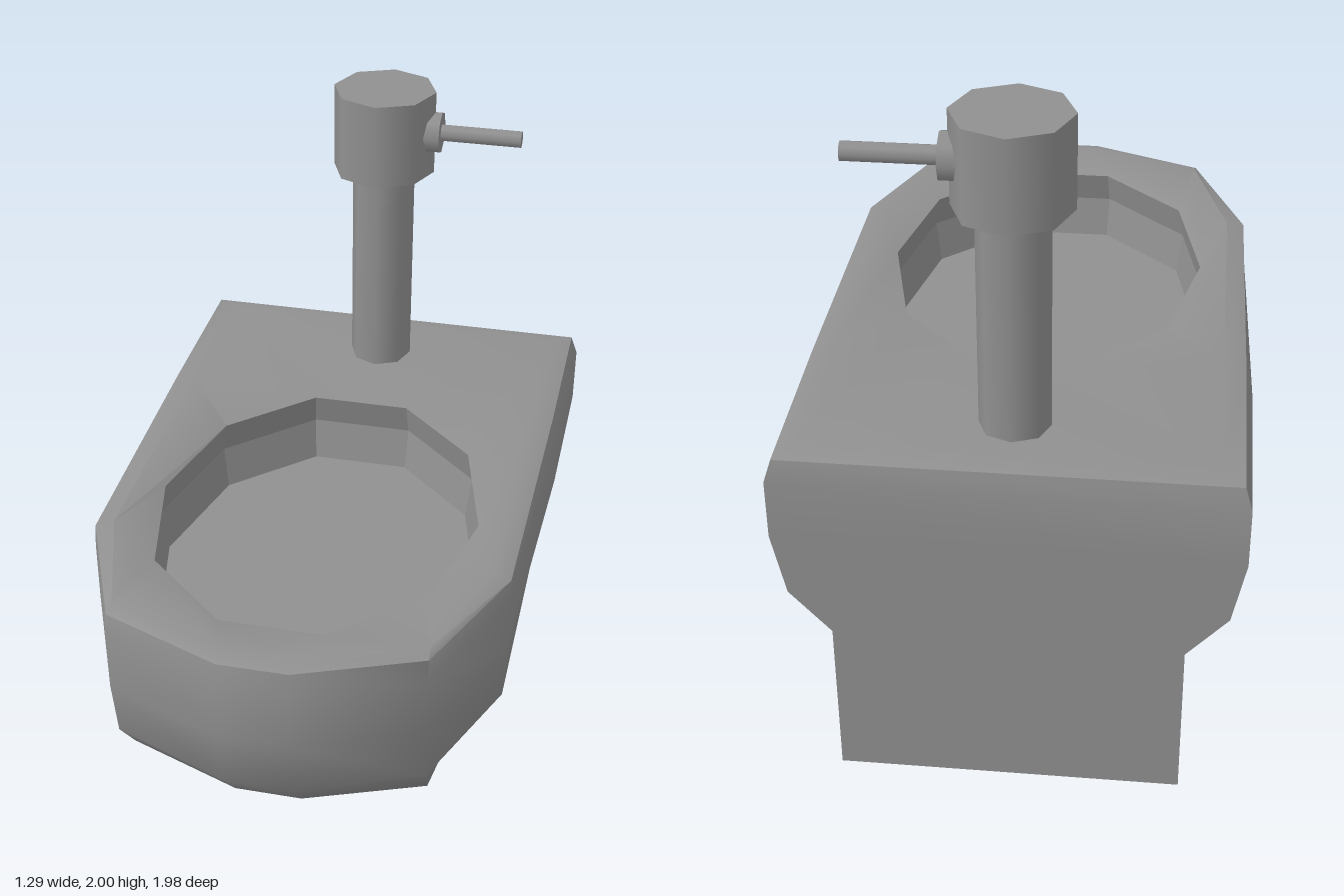
import * as THREE from 'three';
import { toCreasedNormals } from 'three/addons/utils/BufferGeometryUtils.js';

// Half outlines (x, z) on the +x side, from back to front
const RIM = [[0.645, -0.99], [0.645, -0.45], [0.615, 0.45], [0.45, 0.85], [0.1, 0.99]];
const HOLE = [[0.15, -0.42], [0.39, -0.19], [0.48, 0.18], [0.4, 0.55], [0.15, 0.775]];

const mirrored = (half) => [...half, ...half.slice().reverse().map(([x, z]) => [-x, z])];

// Ring of the outer shell, cut to a half width, with its front / back reach
function shellRing(y, halfWidth, front, back = -0.99) {
  const shrink = 0.9 + (0.1 * halfWidth) / 0.645;
  return mirrored(RIM).map(([x, z]) => [
    Math.sign(x) * Math.min(Math.abs(x) * shrink, halfWidth),
    y,
    back + ((z + 0.99) / 1.98) * (front - back),
  ]);
}

// Ring of the basin opening, scaled about its middle
function holeRing(y, s) {
  return mirrored(HOLE).map(([x, z]) => [x * s, y, 0.18 + (z - 0.18) * s]);
}

// Skin through rings of equal length, closed at the first or the last ring
function loft(rings, cap, creaseDegrees) {
  const n = rings[0].length;
  const index = [];
  for (let r = 0; r < rings.length - 1; r++) {
    for (let i = 0; i < n; i++) {
      const a = r * n + i, b = r * n + (i + 1) % n;
      index.push(a, b, a + n, b, b + n, a + n);
    }
  }
  const last = (rings.length - 1) * n;
  for (let i = 1; i < n - 1; i++) {
    if (cap === 'first') index.push(0, i + 1, i);
    else index.push(last, last + i, last + i + 1);
  }
  const geo = new THREE.BufferGeometry();
  geo.setAttribute('position', new THREE.Float32BufferAttribute(rings.flat(2), 3));
  geo.setIndex(index);
  return toCreasedNormals(geo, THREE.MathUtils.degToRad(creaseDegrees));
}

export function createModel() {
  const group = new THREE.Group();
  const grey = new THREE.MeshStandardMaterial({ color: 0x909090 });
  grey.name = 'grey';

  const add = (name, geo, x = 0, y = 0, z = 0) => {
    const mesh = new THREE.Mesh(geo, grey);
    mesh.name = name;
    mesh.position.set(x, y, z);
    group.add(mesh);
    return mesh;
  };

  // Basin: faceted wall, slightly undercut, with a flat floor
  add('basin', loft([
    holeRing(0.82, 1),
    holeRing(0.95, 1.04),
    holeRing(1.05, 1),
  ], 'first', 10));

  // Bowl: dished top, rim, then down the outside to the belly
  add('bowl', loft([
    holeRing(1.05, 1),
    shellRing(1.08, 0.56, 0.93, -0.91),
    shellRing(1.065, 0.625, 0.975, -0.975),
    shellRing(1.0, 0.645, 0.99),
    shellRing(0.82, 0.645, 0.99),
    shellRing(0.63, 0.607, 0.955),
    shellRing(0.497, 0.49, 0.845),
    shellRing(0.42, 0.3, 0.66),
    shellRing(0.39, 0.08, 0.41),
  ], 'last', 52));

  // Pedestal block under the back
  add('pedestal', new THREE.BoxGeometry(0.98, 0.5, 0.52), 0, 0.25, -0.73);

  // Flush pipe and valve head
  add('pipe', new THREE.CylinderGeometry(0.1, 0.1, 0.7, 8), 0, 1.4, -0.75);
  add('valveHead', new THREE.CylinderGeometry(0.162, 0.162, 0.265, 8), 0, 1.8675, -0.75);

  // Flush lever with its collar, pointing to +x
  const collar = add('leverCollar', new THREE.CylinderGeometry(0.066, 0.066, 0.05, 8), 0.158, 1.87, -0.75);
  const lever = add('lever', new THREE.CylinderGeometry(0.027, 0.027, 0.28, 8), 0.295, 1.87, -0.75);
  for (const part of [collar, lever]) part.rotation.z = -Math.PI / 2;

  return group;
}
